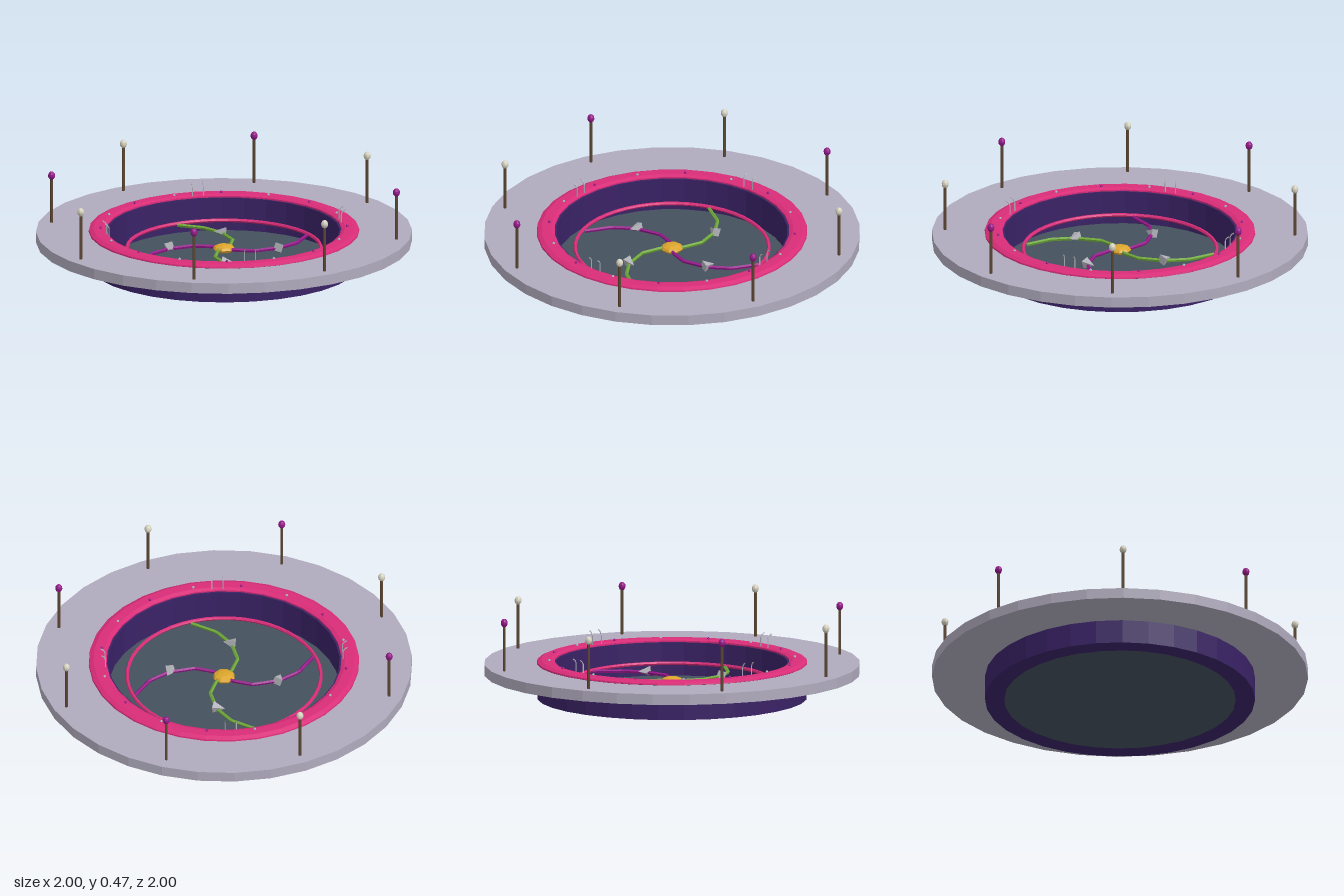
import * as THREE from 'three';

const paint = (name, color) => {
  const m = new THREE.MeshStandardMaterial({ color, flatShading: true });
  m.name = name;
  return m;
};

export function createModel() {
  const model = new THREE.Group();
  model.name = 'roundPool';

  const stone = paint('pale stone', 0xb0abbd);
  const slate = paint('slate floor', 0x44505c);
  const purple = paint('deep purple', 0x3a2266);
  const pink = paint('hot pink', 0xd92c78);
  const magenta = paint('magenta', 0x95188a);
  const cream = paint('cream', 0xd6d2c0);
  const brown = paint('brown', 0x5c4733);
  const green = paint('leaf green', 0x6fa83a);
  const gold = paint('gold', 0xdba52c);
  const steel = paint('steel', 0xb0b0b8);

  const add = (name, geometry, material, parent = model) => {
    const mesh = new THREE.Mesh(geometry, material);
    mesh.name = name;
    parent.add(mesh);
    return mesh;
  };
  // Closed ring turned from a counter-clockwise [radius, height] section
  const ring = (name, section, material) => {
    const pts = [...section, section[0]].map(([r, y]) => new THREE.Vector2(r, y));
    return add(name, new THREE.LatheGeometry(pts, 32), material);
  };
  // Straight-jointed tube through [x, y, z] points
  const tube = (points, radius, sides) => {
    const path = new THREE.CurvePath();
    const v = points.map(p => new THREE.Vector3(...p));
    for (let i = 1; i < v.length; i++) path.add(new THREE.LineCurve3(v[i - 1], v[i]));
    return new THREE.TubeGeometry(path, 24, radius, sides);
  };

  // Deck, basin and coping
  ring('deck', [[0.71, 0.13], [1, 0.13], [1, 0.187], [0.71, 0.187]], stone);
  ring('poolWall', [[0.615, 0], [0.718, 0], [0.718, 0.19], [0.615, 0.19]], purple);
  add('poolFloor', new THREE.CylinderGeometry(0.617, 0.617, 0.012, 32), slate).position.y = 0.006;
  ring('coping', [[0.625, 0.188], [0.72, 0.188], [0.718, 0.196], [0.695, 0.206],
    [0.645, 0.206], [0.625, 0.198]], pink);

  // Floating hoop and hub
  const hoop = add('floatingHoop', new THREE.TorusGeometry(0.515, 0.01, 6, 48), pink);
  hoop.rotation.x = Math.PI / 2;
  hoop.position.y = 0.095;
  const hub = add('hub', new THREE.SphereGeometry(0.06, 8, 6), gold);
  hub.rotation.y = Math.PI / 8;
  hub.scale.y = 0.4;
  hub.position.y = 0.09;

  // Four curling arms, each with a pointed leaf
  const y = 0.09;
  const armPath = [[0, y, 0.03], [0, y, 0.06], [0.048, y, 0.163], [0.166, y, 0.243],
    [0.294, y, 0.27], [0.444, y, 0.238]];
  for (let i = 0; i < 4; i++) {
    const arm = new THREE.Group();
    arm.name = 'arm';
    arm.rotation.y = i * Math.PI / 2;
    add('vine', tube(armPath, 0.01, 5), i % 2 ? magenta : green, arm);
    const leaf = add('leafTip', new THREE.ConeGeometry(0.032, 0.065, 4), steel, arm);
    leaf.position.set(0.176, y + 0.008, 0.235);
    leaf.quaternion.setFromUnitVectors(new THREE.Vector3(0, 1, 0),
      new THREE.Vector3(1, 0, -0.5).normalize());
    model.add(arm);
  }

  // Studs along the coping
  for (let k = 0; k < 16; k++) {
    const a = (k + 0.5) * Math.PI / 8;
    const stud = add('stud', new THREE.SphereGeometry(0.008, 6, 4), k % 2 ? magenta : steel);
    stud.position.set(0.655 * Math.cos(a), 0.209, -0.655 * Math.sin(a));
  }

  // Hooked handrail pairs on the diagonals
  for (let k = 0; k < 4; k++) {
    const rails = new THREE.Group();
    rails.name = 'handrails';
    rails.rotation.y = Math.PI / 4 + k * Math.PI / 2;
    for (const z of [-0.03, 0.03]) {
      add('rail', tube([[0.632, 0.18, z], [0.632, 0.25, z], [0.64, 0.265, z], [0.656, 0.275, z]],
        0.0035, 5), steel, rails);
    }
    model.add(rails);
  }

  // Lamp posts around the deck
  for (let k = 0; k < 8; k++) {
    const a = (k + 0.5) * Math.PI / 4;
    const lamp = new THREE.Group();
    lamp.name = 'lampPost';
    lamp.position.set(0.93 * Math.cos(a), 0.185, -0.93 * Math.sin(a));
    add('post', new THREE.CylinderGeometry(0.008, 0.008, 0.25, 6), brown, lamp).position.y = 0.125;
    const bulb = add('bulb', new THREE.SphereGeometry(0.019, 10, 8), k % 2 ? cream : magenta, lamp);
    bulb.position.y = 0.261;
    bulb.scale.y = 1.2;
    model.add(lamp);
  }
  return model;
}
